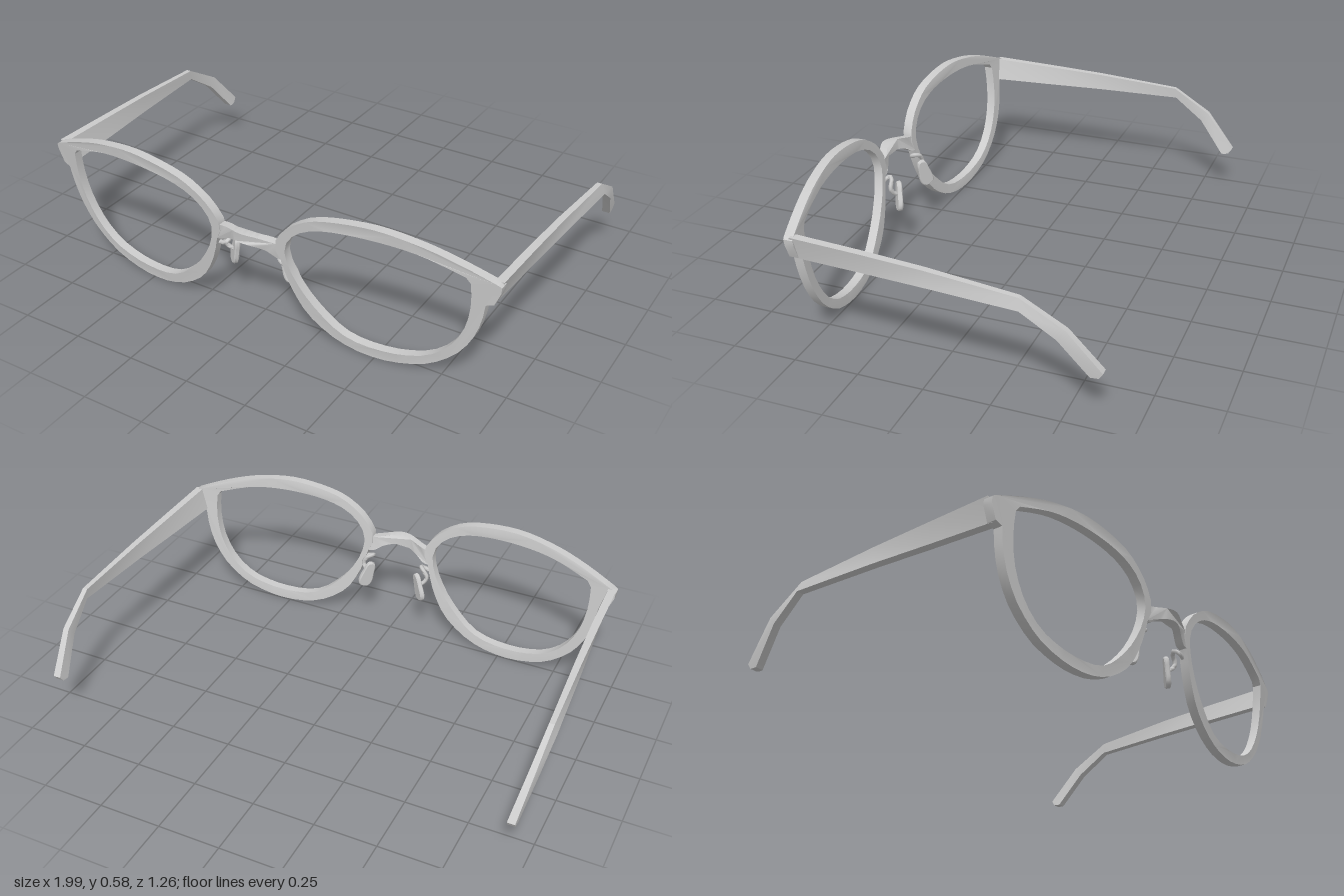
import * as THREE from 'three';
import { toCreasedNormals } from 'three/addons/utils/BufferGeometryUtils.js';

const material = new THREE.MeshStandardMaterial({ color: 0xcccccc });
const v2 = (a) => a.map(([x, y]) => new THREE.Vector2(x, y));
const smooth = (a, n) => new THREE.SplineCurve(v2(a)).getSpacedPoints(n);

// Creased copy, mirrored to the other side when side is -1
function finish(geometry, side, crease = 0.6) {
  const g = geometry.index ? geometry.toNonIndexed() : geometry.clone();
  g.deleteAttribute('normal');
  g.deleteAttribute('uv');
  if (side < 0) {
    const p = g.attributes.position;
    const a = new THREE.Vector3(), b = new THREE.Vector3();
    g.scale(-1, 1, 1);
    for (let i = 0; i < p.count; i += 3) {
      a.fromBufferAttribute(p, i + 1);
      b.fromBufferAttribute(p, i + 2);
      p.setXYZ(i + 1, b.x, b.y, b.z);
      p.setXYZ(i + 2, a.x, a.y, a.z);
    }
  }
  return toCreasedNormals(g, crease);
}

function add(group, name, geometry, side = 1, crease) {
  const mesh = new THREE.Mesh(finish(geometry, side, crease), material);
  mesh.name = name;
  group.add(mesh);
}

// Front surface of the frame: wrapped around the face and tilted
const frameFront = (x, y) => 0.62 - 0.093 * x * x - 0.1 * (0.55 - y);

// Plate of the given depth whose front follows z = front(x, y)
function bentPlate(shape, depth, front) {
  const g = new THREE.ExtrudeGeometry(shape, { depth, bevelEnabled: false });
  const p = g.attributes.position;
  for (let i = 0; i < p.count; i++) {
    p.setZ(i, p.getZ(i) - depth + front(p.getX(i), p.getY(i)));
  }
  return g;
}

// Rim with its end piece
function rimGeometry() {
  const upper = smooth([[0.14, 0.33], [0.118, 0.385], [0.14, 0.44], [0.2, 0.503], [0.31, 0.557], [0.505, 0.583],
    [0.68, 0.563], [0.82, 0.523], [0.95, 0.472]], 22);
  const lower = smooth([[0.908, 0.376], [0.897, 0.31], [0.87, 0.225], [0.81, 0.13], [0.71, 0.05], [0.6, 0.013],
    [0.505, 0.003], [0.41, 0.014], [0.32, 0.05], [0.23, 0.122], [0.17, 0.23], [0.14, 0.33]], 22);
  const shape = new THREE.Shape([...upper, ...v2([[0.961, 0.464], [0.959, 0.44], [0.937, 0.386]]), ...lower.slice(0, -1)]);
  const holeTop = smooth([[0.165, 0.33], [0.162, 0.4], [0.22, 0.475], [0.33, 0.52], [0.505, 0.536],
    [0.68, 0.524], [0.84, 0.477]], 18);
  const holeLow = smooth([[0.857, 0.455], [0.858, 0.36], [0.835, 0.25], [0.78, 0.152], [0.7, 0.085], [0.6, 0.053],
    [0.505, 0.045], [0.42, 0.053], [0.345, 0.085], [0.25, 0.175], [0.19, 0.265], [0.165, 0.33]], 22);
  // The hole runs opposite to the outline so that its walls face inward
  shape.holes.push(new THREE.Path([...holeTop, ...holeLow.slice(0, -1)].reverse()));
  return bentPlate(shape, 0.036, frameFront);
}

// Arched bridge bowing forward between the rims
function bridgeGeometry() {
  const top = smooth([[-0.135, 0.394], [-0.1, 0.402], [-0.05, 0.412], [0, 0.416], [0.05, 0.412], [0.1, 0.402], [0.135, 0.394]], 24);
  const under = smooth([[0.145, 0.33], [0.115, 0.335], [0.08, 0.358], [0.04, 0.37], [0, 0.374],
    [-0.04, 0.37], [-0.08, 0.358], [-0.115, 0.335], [-0.145, 0.33]], 24);
  return bentPlate(new THREE.Shape([...top, ...under]), 0.031, (x, y) =>
    frameFront(x, y) - 0.003 + 0.032 * Math.cos(Math.min(1, Math.abs(x) / 0.125) * Math.PI / 2) ** 2);
}

// Twisted temple lofted through four-cornered sections, bent down and inward at the ear
function templeGeometry() {
  // topZ, topY, bottomZ, bottomY, outer x at top, outer x at bottom, thickness at top and at bottom
  const sections = [
    [0.505, 0.474, 0.505, 0.384, 0.96, 0.935, 0.032, 0.032],
    [0.25, 0.466, 0.25, 0.387, 0.965, 0.952, 0.03, 0.032],
    [0, 0.456, 0, 0.39, 0.971, 0.971, 0.026, 0.032],
    [-0.345, 0.432, -0.35, 0.389, 0.981, 0.994, 0.02, 0.03],
    [-0.505, 0.338, -0.475, 0.302, 0.975, 0.981, 0.024, 0.032],
    [-0.627, 0.192, -0.582, 0.168, 0.956, 0.955, 0.03, 0.032],
    [-0.613, 0.17, -0.59, 0.167, 0.954, 0.953, 0.03, 0.031],
  ];
  const pos = [], idx = [];
  for (const [tz, ty, bz, by, tx, bx, tt, bt] of sections) {
    pos.push(tx, ty, tz, tx - tt, ty, tz, bx - bt, by, bz, bx, by, bz);
  }
  for (let s = 0; s < sections.length - 1; s++) {
    for (let k = 0; k < 4; k++) {
      const a = s * 4 + k, b = s * 4 + (k + 3) % 4;
      idx.push(a, b, a + 4, b, b + 4, a + 4);
    }
  }
  const e = (sections.length - 1) * 4;
  idx.push(0, 1, 2, 0, 2, 3, e, e + 2, e + 1, e, e + 3, e + 2);
  const g = new THREE.BufferGeometry();
  g.setAttribute('position', new THREE.Float32BufferAttribute(pos, 3));
  g.setIndex(idx);
  return g;
}

// Rounded drop-shaped pad, wider below, turned toward the nose
function padGeometry() {
  const outline = smooth([[0, 0.062], [0.018, 0.052], [0.024, 0.015], [0.03, -0.03], [0.022, -0.055], [0, -0.062],
    [-0.022, -0.055], [-0.03, -0.03], [-0.024, 0.015], [-0.018, 0.052], [0, 0.062]], 20);
  const g = new THREE.ExtrudeGeometry(new THREE.Shape(outline.slice(0, -1)),
    { depth: 0.012, bevelSize: 0.004, bevelThickness: 0.004, bevelSegments: 1, bevelOffset: -0.004 });
  g.translate(0, 0, -0.006);
  g.rotateZ(0.2);
  g.rotateY(0.7);
  g.rotateZ(0.12);
  return g.translate(0.12, 0.242, 0.513);
}

// Curled wire holding the pad
function wireGeometry() {
  const path = new THREE.CatmullRomCurve3([[0.152, 0.3, 0.568], [0.122, 0.306, 0.572], [0.112, 0.318, 0.555],
    [0.13, 0.312, 0.538], [0.148, 0.285, 0.535], [0.138, 0.262, 0.528], [0.121, 0.25, 0.516]]
    .map((p) => new THREE.Vector3(...p)));
  return new THREE.TubeGeometry(path, 20, 0.009, 6);
}

export function createModel() {
  const model = new THREE.Group();
  model.name = 'eyeglasses';
  add(model, 'bridge', bridgeGeometry());
  for (const [side, label] of [[1, 'left'], [-1, 'right']]) {
    add(model, label + 'Rim', rimGeometry(), side);
    add(model, label + 'Temple', templeGeometry(), side, 0.4);
    add(model, label + 'NosePad', padGeometry(), side);
    add(model, label + 'PadWire', wireGeometry(), side, 1.2);
  }
  return model;
}
